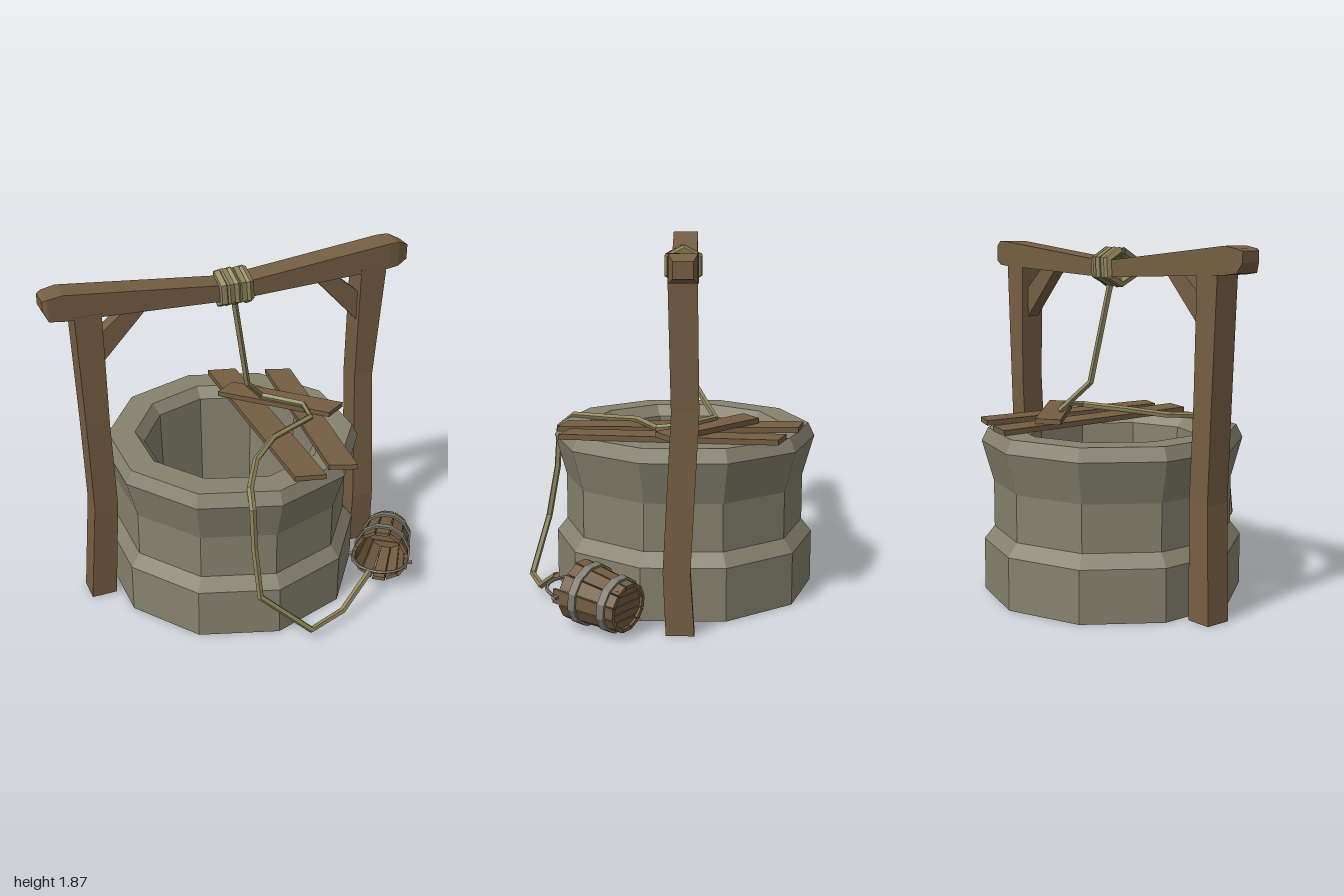
import * as THREE from 'three';

const make = (name, color, side = THREE.FrontSide) =>
  Object.assign(new THREE.MeshStandardMaterial({ color, side }), { name });
const stone = make('stone', 0x86826f, THREE.DoubleSide);
const wood = make('wood', 0x755e43);
const rope = make('rope', 0x8f855c, THREE.DoubleSide);
const metal = make('metal', 0x7d7b70, THREE.DoubleSide);
const dark = make('dark floor', 0x4c4b42, THREE.DoubleSide);

const V = (x, y, z) => new THREE.Vector3(x, y, z);

// Adds a facetted mesh to a parent
function add(parent, name, geometry, material) {
  const flat = geometry.index ? geometry.toNonIndexed() : geometry;
  flat.computeVertexNormals();
  const mesh = new THREE.Mesh(flat, material);
  mesh.name = name;
  parent.add(mesh);
  return mesh;
}

// Crooked timber; sections are [position along axis, lo, hi, zBack, zFront]
function timber(sections, alongX) {
  const n = sections.length - 1;
  const g = alongX ? new THREE.BoxGeometry(1, 1, 1, n, 1, 1) : new THREE.BoxGeometry(1, 1, 1, 1, n, 1);
  const p = g.attributes.position;
  for (let i = 0; i < p.count; i++) {
    const along = alongX ? p.getX(i) : p.getY(i);
    const across = alongX ? p.getY(i) : p.getX(i);
    const [s, lo, hi, back, front] = sections[Math.round((along + 0.5) * n)];
    const c = across > 0 ? hi : lo;
    p.setXYZ(i, alongX ? s : c, alongX ? c : s, p.getZ(i) > 0 ? front : back);
  }
  return g;
}

// Straight-segment path with mitred corners
class Polyline extends THREE.Curve {
  constructor(points) { super(); this.points = points; }
  getUtoTmapping(u) { return u; }
  getPoint(t, target = new THREE.Vector3()) {
    const n = this.points.length - 1;
    const i = Math.min(Math.floor(t * n), n - 1);
    return target.lerpVectors(this.points[i], this.points[i + 1], t * n - i);
  }
}
const cord = (points, r) => new THREE.TubeGeometry(new Polyline(points), points.length - 1, r, 5);

// Plank laid between two end centres
function plank(parent, name, a, b, width, thick) {
  const len = a.distanceTo(b);
  const g = new THREE.BoxGeometry(width, thick, len);
  const p = g.attributes.position;
  // Slanted, broken ends
  for (let i = 0; i < p.count; i++) p.setZ(i, p.getZ(i) + p.getX(i) * 0.25);
  const m = add(parent, name, g, wood);
  m.position.lerpVectors(a, b, 0.5);
  m.lookAt(b);
}

function buildWell() {
  const well = new THREE.Group();
  well.name = 'well';
  const profile = [[0.45, 0.05], [0.7, 0], [0.7, 0.28], [0.645, 0.35], [0.645, 0.6], [0.707, 0.82],
    [0.672, 0.89], [0.525, 0.89], [0.475, 0.83], [0.45, 0.05]].map(([r, y]) => new THREE.Vector2(r, y));
  add(well, 'stoneWall', new THREE.LatheGeometry(profile, 10), stone);
  const floor = add(well, 'wellFloor', new THREE.CircleGeometry(0.45, 10, Math.PI / 2), dark);
  floor.rotation.x = -Math.PI / 2;
  floor.position.y = 0.05;
  well.position.z = -0.073;
  return well;
}

function buildFrame() {
  const frame = new THREE.Group();
  frame.name = 'frame';
  add(frame, 'crossBeam', timber([
    [-1, 1.79, 1.845, -0.125, -0.015], [-0.975, 1.74, 1.855, -0.14, 0], [-0.9, 1.73, 1.868, -0.145, 0],
    [0, 1.69, 1.775, -0.14, -0.005], [0.88, 1.725, 1.865, -0.145, 0], [0.94, 1.73, 1.865, -0.14, -0.005],
    [1, 1.755, 1.835, -0.12, -0.025]], true), wood);
  add(frame, 'rightPost', timber([
    [0, -0.85, -0.71, -0.175, -0.035], [0.6, -0.81, -0.68, -0.15, -0.01],
    [1.1, -0.825, -0.7, -0.145, -0.005], [1.74, -0.85, -0.71, -0.14, 0]]), wood);
  add(frame, 'leftPost', timber([
    [0, 0.73, 0.865, -0.13, 0.01], [0.32, 0.73, 0.856, -0.11, 0.025],
    [1.1, 0.72, 0.83, -0.15, -0.015], [1.74, 0.72, 0.868, -0.14, 0]]), wood);
  // Diagonal corner braces
  for (const s of [-1, 1]) {
    const pts = [[0.74, 1.42], [0.74, 1.59], [0.55, 1.75], [0.43, 1.75]].map(([x, y]) => new THREE.Vector2(s * x, y));
    const g = new THREE.ExtrudeGeometry(new THREE.Shape(pts), { depth: 0.07, bevelEnabled: false });
    add(frame, s < 0 ? 'rightBrace' : 'leftBrace', g, wood).position.z = -0.105;
  }
  return frame;
}

function buildRope() {
  const group = new THREE.Group();
  group.name = 'rope';
  // Coils round the beam
  const coil = [];
  const steps = 27;
  for (let i = 0; i <= steps; i++) {
    const a = (i / 6) * Math.PI * 2;
    coil.push(V(-0.075 + 0.155 * (i / steps), 1.742 + 0.085 * Math.cos(a), -0.068 + 0.092 * Math.sin(a)));
  }
  add(group, 'beamCoils', cord(coil, 0.024), rope);
  // Loose rope: beam, planks, over the rim, along the ground, bucket
  add(group, 'looseRope', cord([
    V(0.015, 1.68, -0.07), V(0.12, 1.12, -0.13), V(0.25, 0.965, -0.235), V(0.43, 0.96, -0.06),
    V(0.42, 0.945, 0.06), V(0.15, 0.935, 0.17), V(-0.01, 0.91, 0.31), V(-0.14, 0.9, 0.54),
    V(-0.16, 0.83, 0.625), V(-0.155, 0.6, 0.64), V(-0.14, 0.32, 0.69), V(0.13, 0.068, 0.755),
    V(0.35, 0.075, 0.68), V(0.56, 0.205, 0.575)], 0.018), rope);
  return group;
}

function buildBucket() {
  const bucket = new THREE.Group();
  bucket.name = 'bucket';
  const H = 0.31, R0 = 0.122, R1 = 0.152, N = 12;
  const radius = (y) => R0 + (R1 - R0) * (y / H);
  // Tapered staves; the two beside the handle reach past the mouth
  for (let k = 0; k < N; k++) {
    const ear = k % 6 === 0;
    const top = H + (ear ? 0.045 : k % 2 ? 0.008 : 0);
    const g = new THREE.BoxGeometry(0.02, top, 1);
    const p = g.attributes.position;
    for (let i = 0; i < p.count; i++) {
      const y = p.getY(i) + top / 2;
      const r = radius(y) + p.getX(i) - 0.01;
      p.setXYZ(i, r, y, p.getZ(i) * 2 * r * Math.tan(Math.PI / N) * 0.9);
    }
    add(bucket, 'stave', g, wood).rotation.y = (k / N) * Math.PI * 2;
  }
  // Slatted bottom
  for (let k = 0; k < 5; k++) {
    const w = 0.042, z = (k - 2) * w;
    const len = 2 * Math.sqrt(0.112 ** 2 - z * z);
    add(bucket, 'bottomSlat', new THREE.BoxGeometry(len, 0.015, w - 0.005), wood).position.set(0, 0.022, z);
  }
  // Hoops
  for (const y of [0.065, 0.235]) {
    const a = radius(y - 0.02), b = radius(y + 0.02);
    const ring = [[a, y - 0.02], [a + 0.016, y - 0.02], [b + 0.016, y + 0.02], [b, y + 0.02], [a, y - 0.02]];
    const hoop = add(bucket, 'hoop', new THREE.LatheGeometry(ring.map(([r, h]) => new THREE.Vector2(r, h)), N), metal);
    hoop.rotation.y = Math.PI / N;
  }
  // Handle and its pins
  add(bucket, 'handle', new THREE.TorusGeometry(0.155, 0.009, 5, 10, Math.PI), metal).position.y = H + 0.02;
  for (const s of [-1, 1]) {
    const pin = add(bucket, 'handlePin', new THREE.CylinderGeometry(0.013, 0.013, 0.05, 6), metal);
    pin.rotation.z = Math.PI / 2;
    pin.position.set(s * 0.155, H + 0.02, 0);
  }
  // Lay the bucket on its side
  const base = V(0.885, 0.15, 0.19);
  const y = V(0.695, 0.18, 0.45).sub(base).normalize();
  const x = new THREE.Vector3().crossVectors(y, V(0, 1, 0)).normalize();
  const z = new THREE.Vector3().crossVectors(x, y);
  bucket.quaternion.setFromRotationMatrix(new THREE.Matrix4().makeBasis(x, y, z));
  bucket.position.copy(base);
  return bucket;
}

export function createModel() {
  const model = new THREE.Group();
  model.name = 'oldWell';
  model.add(buildWell(), buildFrame(), buildRope(), buildBucket());
  // Planks over the opening
  plank(model, 'longPlank', V(0.19, 0.905, -0.69), V(0.185, 0.905, 0.57), 0.16, 0.028);
  plank(model, 'sidePlank', V(0.5, 0.905, -0.57), V(0.385, 0.905, 0.54), 0.145, 0.028);
  plank(model, 'crossPlank', V(0.11, 0.935, -0.43), V(0.59, 0.937, 0.03), 0.14, 0.028);
  return model;
}
